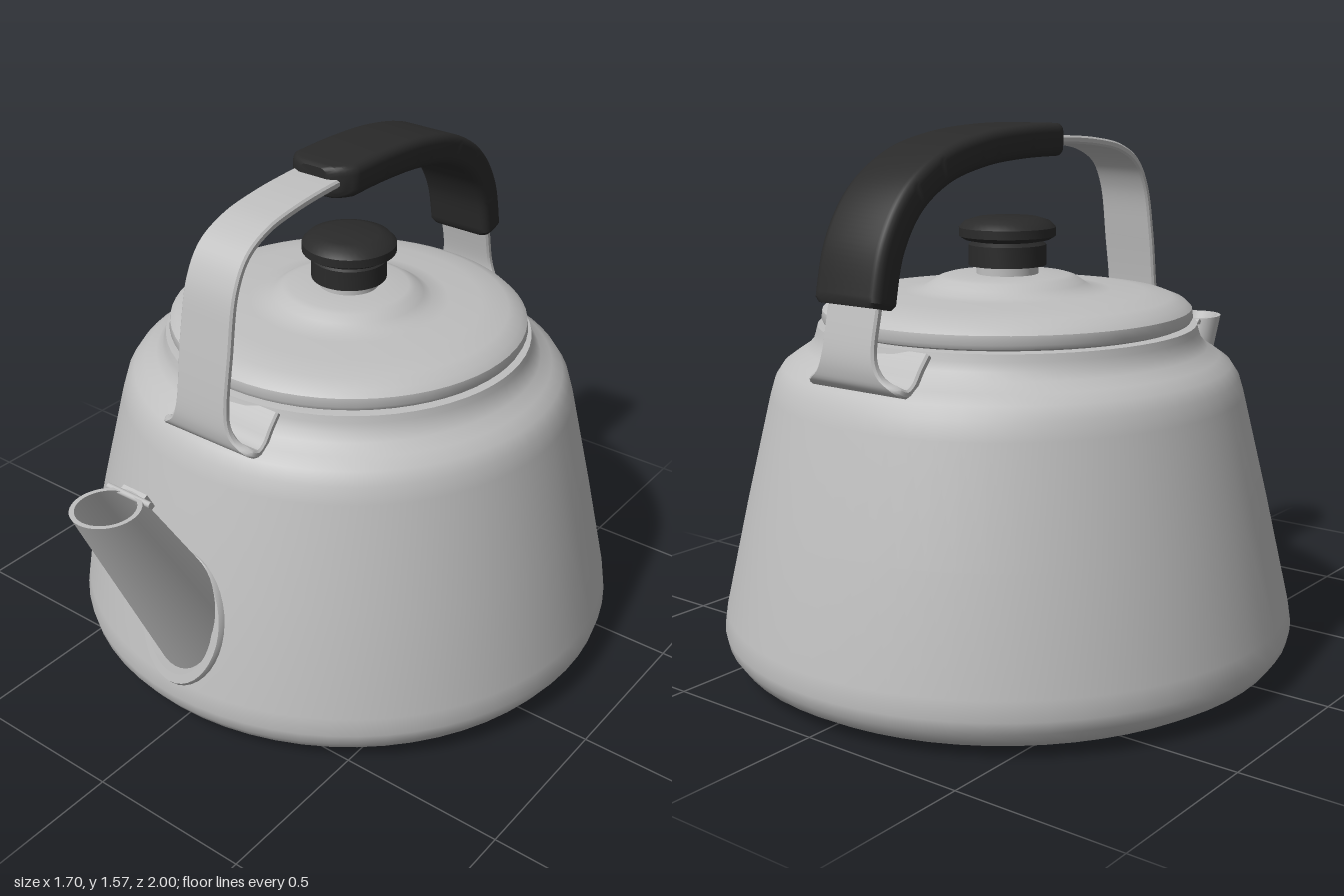
import * as THREE from 'three';
import { toCreasedNormals } from 'three/addons/utils/BufferGeometryUtils.js';

const CZ = -0.15; // axis of the pot
const V = (x, y, z) => new THREE.Vector3(x, y, z);

// Surface through closed loops of points; optional flat caps at both ends
function loft(loops, capped, crease = 0.6) {
  const n = loops[0].length, pos = [], idx = [];
  loops.forEach(l => l.forEach(p => pos.push(p.x, p.y, p.z)));
  for (let i = 0; i < loops.length - 1; i++)
    for (let j = 0; j < n; j++) {
      const a = i * n + j, b = i * n + (j + 1) % n;
      idx.push(a, b, a + n, b, b + n, a + n);
    }
  if (capped)
    for (let j = 1; j < n - 1; j++) {
      const o = (loops.length - 1) * n;
      idx.push(0, j + 1, j, o, o + j, o + j + 1);
    }
  const g = new THREE.BufferGeometry();
  g.setAttribute('position', new THREE.Float32BufferAttribute(pos, 3));
  g.setIndex(idx);
  return toCreasedNormals(g, crease);
}

function lathe(points, segments = 64) {
  const g = new THREE.LatheGeometry(points.map(p => new THREE.Vector2(p[0], p[1])), segments);
  return toCreasedNormals(g, 0.65).translate(0, 0, CZ);
}

// Sweep a rounded rectangle along samples (z, y), where x holds the half width
function sweep(samples, halfThick, radius, steps) {
  const loops = samples.map((p, i) => {
    const a = samples[Math.max(i - 1, 0)], b = samples[Math.min(i + 1, samples.length - 1)];
    const t = V(0, b.y - a.y, b.z - a.z).normalize();
    const n = t.clone().cross(V(1, 0, 0));
    const h = halfThick(i, samples.length), r = Math.min(radius, h), loop = [];
    [[1, 1], [-1, 1], [-1, -1], [1, -1]].forEach(([sx, sy], q) => {
      for (let k = 0; k <= steps; k++) {
        const ang = (q + k / steps) * Math.PI / 2;
        const u = sx * (p.x - r) + r * Math.cos(ang), v = sy * (h - r) + r * Math.sin(ang);
        loop.push(V(u, p.y, p.z).addScaledVector(n, v));
      }
    });
    return loop;
  });
  return loft(loops, true);
}

export function createModel() {
  const steel = new THREE.MeshStandardMaterial({ color: 0xbfbfbf });
  steel.name = 'steel';
  const black = new THREE.MeshStandardMaterial({ color: 0x2a2a2a });
  black.name = 'black plastic';
  const model = new THREE.Group();
  model.name = 'kettle';
  const add = (name, geometry, material) => {
    const m = new THREE.Mesh(geometry, material);
    m.name = name;
    model.add(m);
    return m;
  };

  // Pot body
  add('body', lathe([[0, 0], [0.72, 0], [0.77, 0.018], [0.815, 0.045], [0.84, 0.08], [0.848, 0.115],
    [0.84, 0.17], [0.77, 0.48], [0.693, 0.8], [0.678, 0.85], [0.655, 0.885], [0.62, 0.91],
    [0.585, 0.933], [0.566, 0.955], [0.558, 0.98], [0.553, 1.0], [0.52, 1.002], [0, 1.002]]), steel);

  // Lid with raised centre and a short neck under the knob
  add('lid', lathe([[0.51, 0.998], [0.535, 1.008], [0.541, 1.02], [0.538, 1.045], [0.52, 1.062],
    [0.48, 1.078], [0.4, 1.09], [0.3, 1.095], [0.25, 1.1], [0.225, 1.115], [0.2, 1.132],
    [0.18, 1.138], [0.09, 1.14], [0.09, 1.17], [0, 1.17]]), steel);

  // Knob
  add('knob', lathe([[0, 1.165], [0.113, 1.165], [0.113, 1.225], [0.1, 1.235], [0.125, 1.24],
    [0.141, 1.25], [0.141, 1.275], [0.125, 1.292], [0.09, 1.303], [0, 1.305]], 40), black);

  // Handle strip: each point is (half width, y, z); the flared hooks match at both ends
  const hook = [[0.165, 0.99, 0.385], [0.165, 0.955, 0.415], [0.165, 0.917, 0.443], [0.165, 0.902, 0.472],
    [0.16, 0.915, 0.5], [0.115, 0.945, 0.513], [0.094, 0.99, 0.515]];
  const arch = [[0.09, 1.2, 0.488], [0.087, 1.36, 0.455], [0.085, 1.44, 0.405], [0.083, 1.485, 0.32],
    [0.082, 1.508, 0.2], [0.081, 1.521, 0.02], [0.081, 1.521, -0.2], [0.082, 1.505, -0.38],
    [0.083, 1.465, -0.54], [0.085, 1.385, -0.67], [0.087, 1.27, -0.75], [0.09, 1.12, -0.789]];
  const rear = hook.map(([w, y, z]) => [w, y, 2 * CZ - z]).reverse();
  const curve = new THREE.CatmullRomCurve3([...hook, ...arch, ...rear].map(p => V(...p)), false, 'centripetal');
  const samples = curve.getSpacedPoints(180);
  add('handleStrip', sweep(samples, () => 0.012, 0.006, 1), steel);

  // Grip: thicker sleeve over the top and rear of the strip, rounded at its front
  const gripPath = samples.filter(p => p.z < 0.036 && p.y > 1.115);
  gripPath.forEach((p, i) => {
    const front = [0.05, 0.078, 0.094, 0.105][i];
    p.x = front ?? (i === gripPath.length - 1 ? 0.104 : 0.113);
  });
  add('grip', sweep(gripPath, (i, n) => (i === 0 || i === n - 1 ? 0.041 : 0.047), 0.025, 4), black);

  // Spout: lofted from an oval on the pot wall to a level round mouth
  const N = 40;
  const ring = f => Array.from({ length: N }, (_, j) => f(Math.cos(j / N * 2 * Math.PI), Math.sin(j / N * 2 * Math.PI)));
  const onWall = (scale, off) => ring((c, s) => {
    const x = 0.131 * scale * c, y = 0.37 + 0.181 * scale * s;
    const r = 0.84 - (y - 0.17) * 0.2333;
    return V(x, y + off * 0.22, CZ + Math.sqrt(r * r - x * x) + off * 0.97);
  });
  const mouth = (r, y) => ring((c, s) => V(r * c, y, 0.9 - (0.885 - y) * 0.45 - r * 1.08 * s));
  add('spout', loft([onWall(1, -0.02), mouth(0.092, 0.885), mouth(0.079, 0.885), onWall(0.88, -0.01)], false), steel);
  add('spoutFlange', loft([onWall(1.15, -0.02), onWall(1.15, 0.006), onWall(1.1, 0.018), onWall(0.94, 0.018)], false), steel);

  // Small hinge behind the spout mouth
  const pin = new THREE.CylinderGeometry(0.009, 0.009, 0.155, 12).rotateZ(Math.PI / 2);
  add('hingePin', pin, steel).position.set(0, 0.878, 0.812);
  const tab = add('hingeTab', new THREE.BoxGeometry(0.085, 0.055, 0.02), steel);
  tab.position.set(0, 0.856, 0.785);
  tab.rotation.x = 0.5;

  return model;
}
